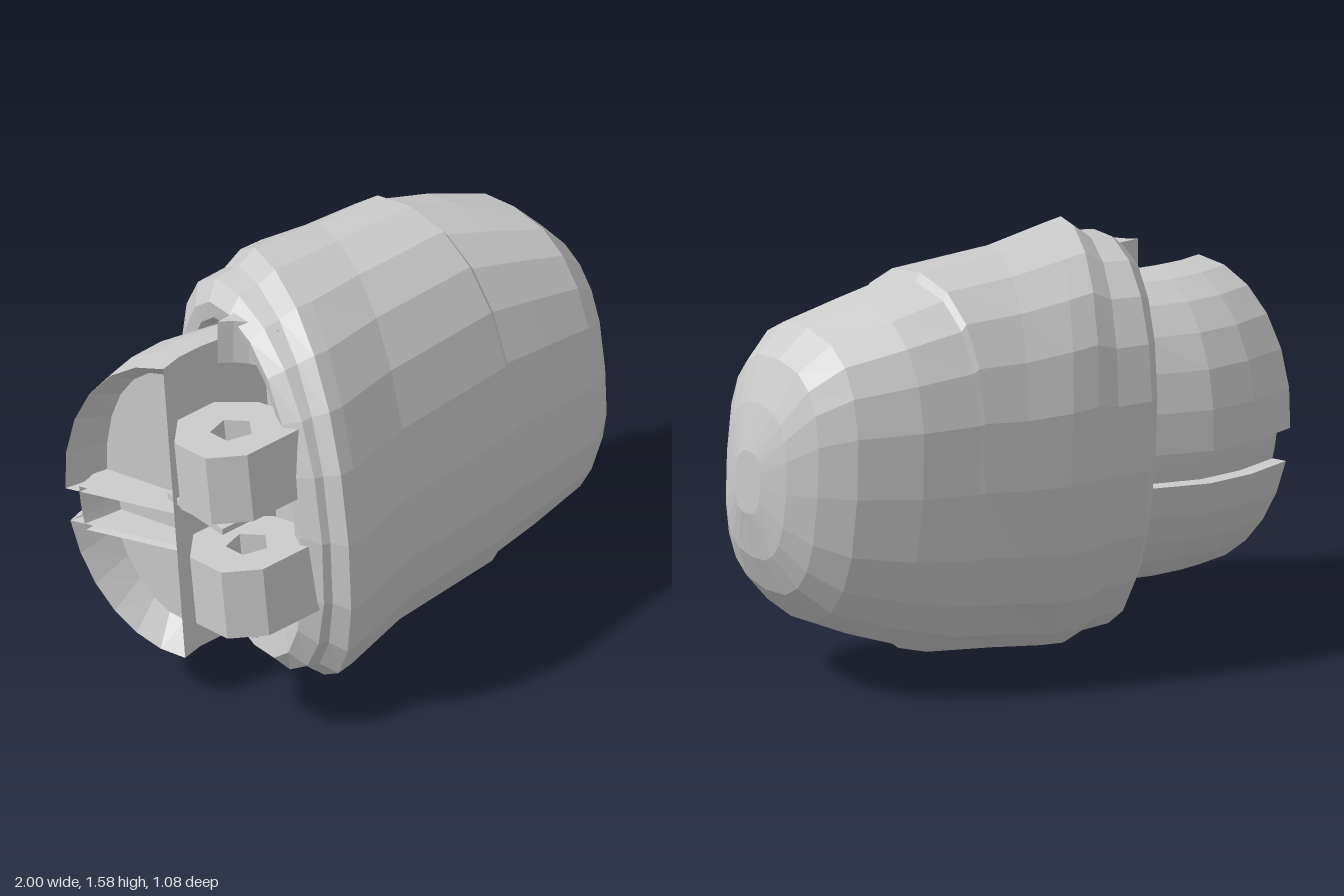
import * as THREE from 'three';

const material = new THREE.MeshStandardMaterial({ color: 0xcccccc, flatShading: true });
const MID = 0.79;
const LEAN = 0.1; // the whole form leans back as it rises

const mesh = (name, geometry) => {
  const m = new THREE.Mesh(geometry, material);
  m.name = name;
  return m;
};
const leaned = (x, y, z) => new THREE.Vector3(x, y, z - LEAN * (y - MID));

// Skin a list of equal-length rings and close both ends with fans.
function loft(rings) {
  const pos = [];
  const tri = (a, b, c) => pos.push(...a.toArray(), ...b.toArray(), ...c.toArray());
  const centre = (r) => r.reduce((s, p) => s.add(p), new THREE.Vector3()).divideScalar(r.length);
  const n = rings[0].length;
  const first = rings[0], last = rings[rings.length - 1];
  const c0 = centre(first), c1 = centre(last);
  for (let j = 0; j < n; j++) {
    const k = (j + 1) % n;
    for (let i = 0; i < rings.length - 1; i++) {
      const a = rings[i], b = rings[i + 1];
      tri(a[j], b[j], a[k]);
      tri(b[j], b[k], a[k]);
    }
    tri(c0, first[j], first[k]);
    tri(c1, last[k], last[j]);
  }
  const g = new THREE.BufferGeometry();
  g.setAttribute('position', new THREE.Float32BufferAttribute(pos, 3));
  g.computeVertexNormals();
  return g;
}

// Oval ring standing on the slanted line from front (fx, fz) to back (bx, bz);
// a lower power makes it squarer.
function ovalRing([fx, fz, bx, bz, y0, y1, power = 0.89], sides = 20) {
  const soft = (v) => Math.sign(v) * Math.abs(v) ** power;
  return Array.from({ length: sides }, (_, j) => {
    const t = (j / sides) * Math.PI * 2;
    const c = soft(Math.cos(t)), s = soft(Math.sin(t));
    return leaned((fx + bx) / 2 + c * (fx - bx) / 2, (y0 + y1) / 2 + s * (y1 - y0) / 2,
      (fz + bz) / 2 + c * (fz - bz) / 2);
  });
}

// Slice of a half-oval ring: bulges to the back, flat at the front.
function halfRing([fx, fz, bx, bz, tall = 1], from, to, scale, steps = 6) {
  const at = (t, c) => leaned(fx + (bx - fx) * c * scale,
    0.785 + 0.595 * tall * scale * Math.sin(t), fz + (bz - fz) * c * scale);
  const pts = [];
  for (let i = 0; i <= steps; i++) {
    const t = from + (to - from) * i / steps;
    pts.push(at(t, -Math.cos(t)));
  }
  return [...pts, at(to, 0), at(from, 0)];
}

// Extrude a plan outline of [x, z] points upward, with an optional hole.
function prism(points, height, hole) {
  const flip = (list) => list.map(([x, z]) => new THREE.Vector2(x, -z));
  const s = new THREE.Shape(flip(points));
  if (hole) s.holes.push(new THREE.Path(flip(hole)));
  return new THREE.ExtrudeGeometry(s, { depth: height, bevelEnabled: false })
    .rotateX(-Math.PI / 2).translate(0, -height / 2, 0);
}

// Points on an arc in plan
const arc = (x, z, r, a0, a1, n) => Array.from({ length: n }, (_, i) => {
  const a = a0 + (a1 - a0) * i / (n - 1);
  return [x + r * Math.cos(a), z + r * Math.sin(a)];
});

export function createModel() {
  const group = new THREE.Group();

  // Outer shell: inner socket, rim, raised cover and the narrower rounded end
  const shell = [
    [-0.4, 0.26, -0.3, -0.32, 0.24, 1.36],
    [-0.54, 0.31, -0.42, -0.39, 0.19, 1.4],
    [-0.575, 0.38, -0.42, -0.43, 0.11, 1.47],
    [-0.54, 0.46, -0.34, -0.525, 0.05, 1.52],
    [-0.51, 0.47, -0.2, -0.52, 0.04, 1.53],
    [-0.48, 0.535, -0.11, -0.535, 0, 1.58],
    [-0.42, 0.53, 0, -0.54, 0.01, 1.57],
    [-0.12, 0.45, 0.17, -0.51, 0.045, 1.545],
    [0.41, 0.41, 0.32, -0.48, 0.08, 1.535, 0.87],
    [0.43, 0.39, 0.34, -0.475, 0.1, 1.505, 0.84],
    [0.6, 0.395, 0.55, -0.43, 0.17, 1.45, 0.8],
    [0.8, 0.395, 0.77, -0.34, 0.265, 1.38, 0.76],
    [0.89, 0.345, 0.88, -0.25, 0.38, 1.27, 0.73],
    [0.955, 0.24, 0.95, -0.15, 0.52, 1.11, 0.72],
    [1, 0.11, 0.99, -0.04, 0.7, 0.94, 0.72],
  ];
  group.add(mesh('outerShell', loft(shell.map((r) => ovalRing(r)))));

  // Rounded inner joint with a hollowed end, split into two pads by a groove
  const joint = [
    [-0.74, -0.1, -0.83, -0.37, 0.85],
    [-0.81, -0.03, -1, -0.4],
    [-0.72, -0.05, -0.82, -0.455],
    [-0.62, -0.05, -0.64, -0.465],
    [-0.45, -0.03, -0.42, -0.4],
    [-0.33, -0.03, -0.32, -0.3],
  ];
  const pad = (name, from, to, scale) =>
    group.add(mesh(name, loft(joint.map((r) => halfRing(r, from, to, scale)))));
  pad('upperPad', Math.PI / 2, Math.PI, 1);
  pad('lowerPad', Math.PI + 0.22, Math.PI * 1.5, 1);
  pad('grooveFloor', Math.PI - 0.04, Math.PI + 0.3, 0.87);

  // Hinge knuckles: eight-sided lugs with a five-sided pin hole and an arm into the rim
  const lug = [[0.24, 0.18], [0.19, -0.08], [0.085, -0.2], [-0.085, -0.2], [-0.2, -0.085],
    [-0.2, 0.085], [-0.085, 0.18]];
  const pinHole = arc(0, 0, 0.08, 0, Math.PI * 1.6, 5);
  for (const [name, y, z] of [['upperKnuckle', 1.055, 0.165], ['lowerKnuckle', 0.605, 0.25]]) {
    const k = mesh(name, prism(lug, 0.27, pinHole));
    k.position.set(-0.69, y, z);
    k.rotation.x = -0.13;
    group.add(k);
  }

  // Thin plate between the knuckles
  const plate = mesh('hingePlate', new THREE.BoxGeometry(0.19, 0.025, 0.3));
  plate.position.set(-0.695, 0.823, 0.06);
  group.add(plate);

  // Curved stops at the top and bottom of the rim, hollowed around the hinge line
  const stop = [...arc(-0.69, 0.16, 0.25, -1.05, -0.15, 5), [-0.41, 0.12], [-0.43, -0.06]];
  for (const [name, y, z] of [['upperStop', 1.39, -0.02], ['lowerStop', 0.24, 0.06]]) {
    const part = mesh(name, prism(stop, 0.18));
    part.position.set(0, y, z);
    group.add(part);
  }
  return group;
}
